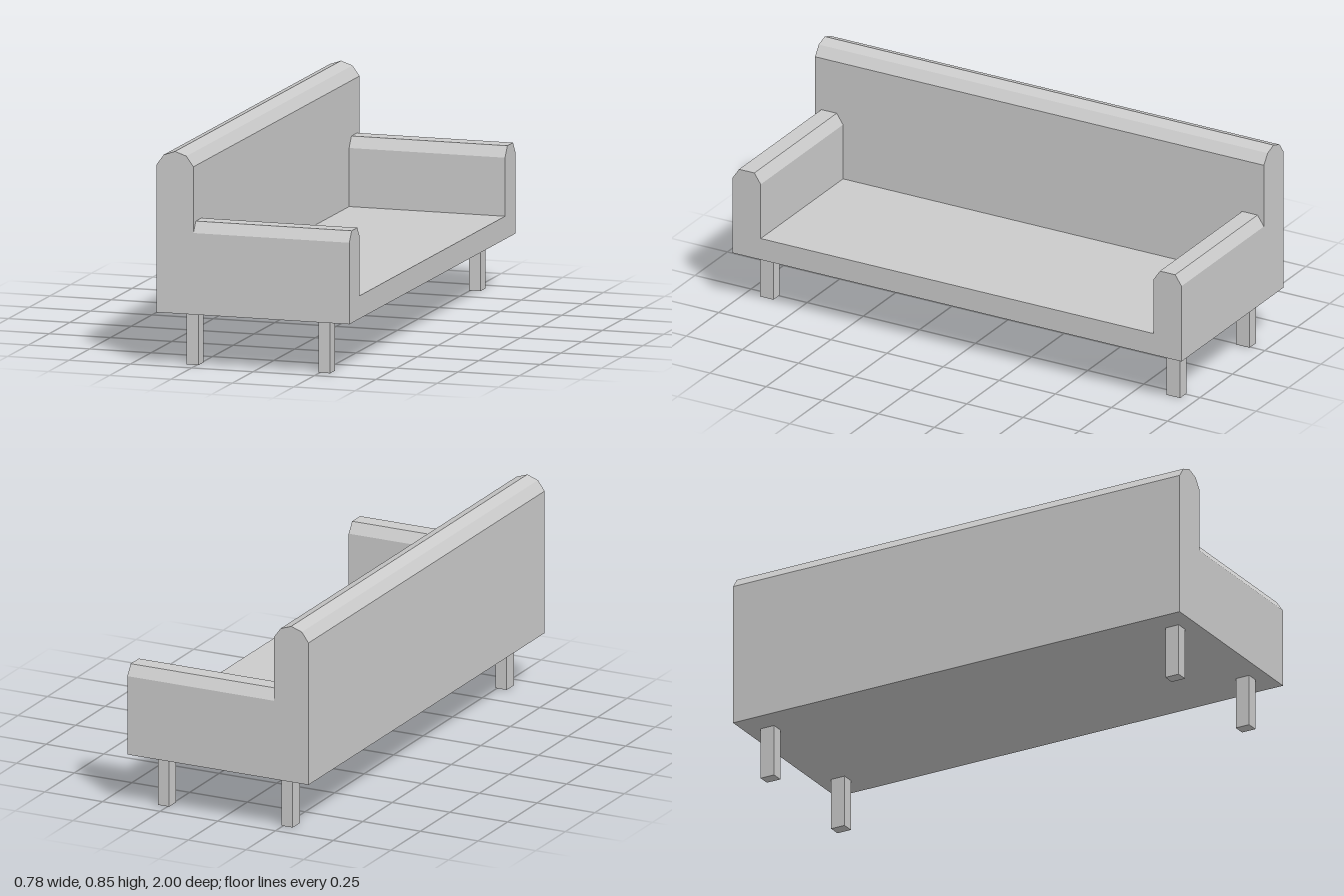
import * as THREE from 'three';

const material = new THREE.MeshStandardMaterial({ color: 0xcccccc, flatShading: true });

// Extrudes an outline of [across, up] points, centred along its depth
function extrude(name, points, depth) {
  const shape = new THREE.Shape(points.map(([a, y]) => new THREE.Vector2(a, y)));
  const geometry = new THREE.ExtrudeGeometry(shape, { depth, bevelEnabled: false });
  geometry.translate(0, 0, -depth / 2);
  const mesh = new THREE.Mesh(geometry, material);
  mesh.name = name;
  return mesh;
}

// Box given by its limits on each axis
function box(name, [x0, x1], [y0, y1], [z0, z1]) {
  const mesh = new THREE.Mesh(new THREE.BoxGeometry(x1 - x0, y1 - y0, z1 - z0), material);
  mesh.position.set((x0 + x1) / 2, (y0 + y1) / 2, (z0 + z1) / 2);
  mesh.name = name;
  return mesh;
}

export function createModel() {
  const sofa = new THREE.Group();
  sofa.name = 'sofa';

  const base = 0.21, back = -0.393, backFront = -0.243, front = 0.392;

  // Seat between the arms
  sofa.add(box('seat', [backFront, front], [base, 0.3], [-0.875, 0.875]));

  // Full-length backrest with a faceted round top
  const backrest = extrude('backrest', [
    [-0.075, base], [0.075, base], [0.075, 0.79], [0.046, 0.83],
    [0, 0.846], [-0.046, 0.83], [-0.075, 0.79],
  ], 2);
  backrest.position.x = (back + backFront) / 2;
  sofa.add(backrest);

  // Arms with chamfered tops, running forward from the backrest
  for (const side of [-1, 1]) {
    const arm = extrude(side > 0 ? 'armPositiveZ' : 'armNegativeZ', [
      [-0.0625, base], [0.0625, base], [0.0625, 0.53],
      [0.034, 0.572], [-0.034, 0.572], [-0.0625, 0.53],
    ], front - backFront);
    arm.rotation.y = Math.PI / 2;
    arm.position.set((front + backFront) / 2, 0, side * 0.9375);
    sofa.add(arm);
  }

  // Four square legs
  for (const sx of [-1, 1]) {
    for (const sz of [-1, 1]) {
      const leg = box('leg', [-0.024, 0.024], [0, base], [-0.03, 0.03]);
      leg.position.x = sx * 0.268;
      leg.position.z = sz * 0.906;
      sofa.add(leg);
    }
  }

  return sofa;
}
